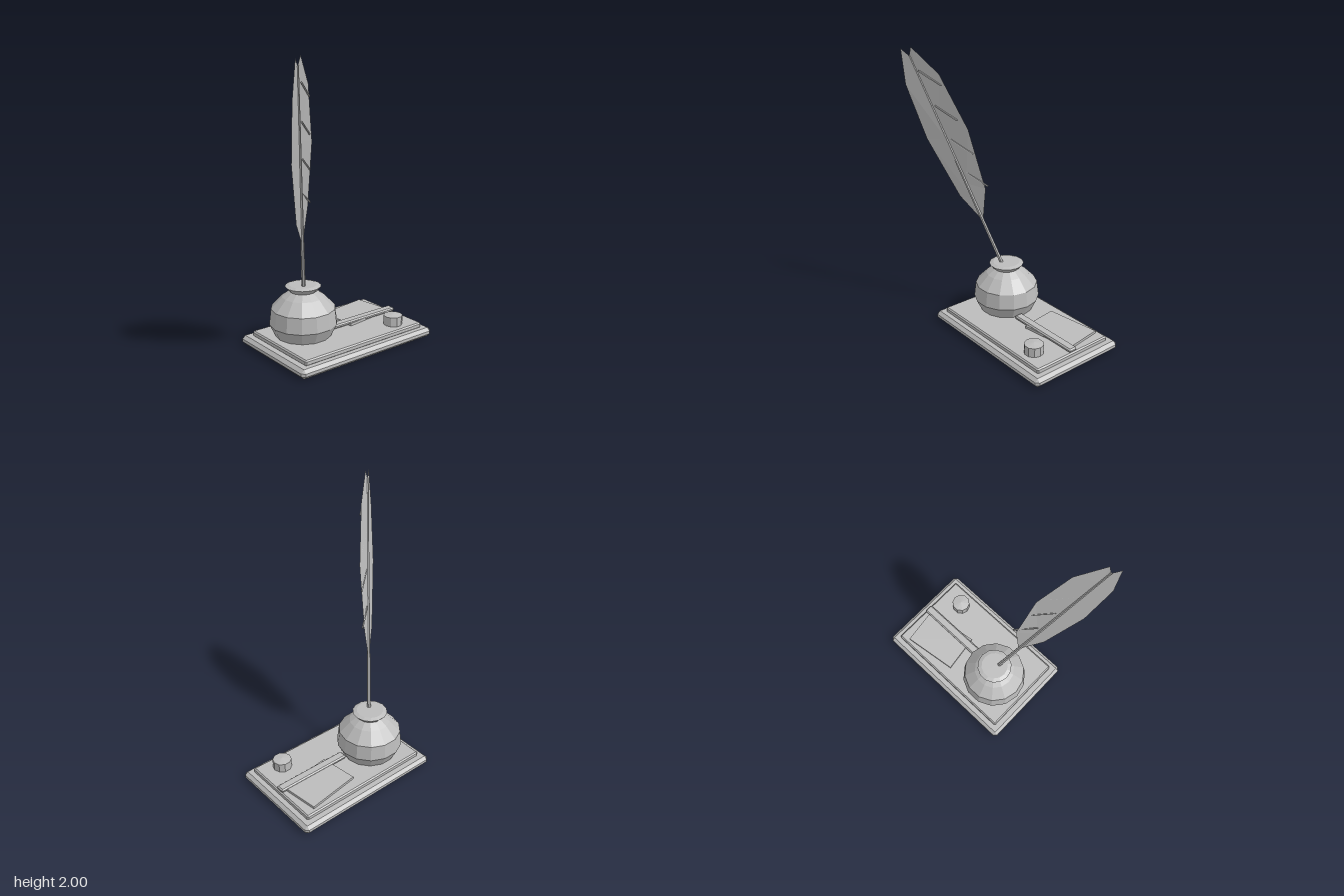
import * as THREE from 'three';
import { ConvexGeometry } from 'three/addons/geometries/ConvexGeometry.js';

const grey = new THREE.MeshStandardMaterial({ color: 0xbcbcbc, flatShading: true, side: THREE.DoubleSide });
grey.name = 'plain grey';

const v = (x, y, z) => new THREE.Vector3(x, y, z);

// Box with every edge cut at 45 degrees, given by its extents
function chamferBox(x0, x1, y0, y1, z0, z1, c) {
  const pts = [];
  for (const sx of [0, 1]) for (const sy of [0, 1]) for (const sz of [0, 1]) {
    const corner = v(sx ? x1 : x0, sy ? y1 : y0, sz ? z1 : z0);
    const inset = v(sx ? -c : c, sy ? -c : c, sz ? -c : c);
    for (const keep of ['x', 'y', 'z']) {
      const p = corner.clone().add(inset);
      p[keep] = corner[keep];
      pts.push(p);
    }
  }
  return new ConvexGeometry(pts);
}

// Lathe with corners on the x axis
function turned(profile, sides) {
  return new THREE.LatheGeometry(profile.map(([r, y]) => new THREE.Vector2(r, y)), sides).rotateY(Math.PI / 2);
}

// Tapered rod between two points
function rod(a, b, ra, rb, sides) {
  const dir = b.clone().sub(a);
  const g = new THREE.CylinderGeometry(rb, ra, dir.length(), sides);
  g.applyQuaternion(new THREE.Quaternion().setFromUnitVectors(v(0, 1, 0), dir.normalize()));
  const m = a.clone().add(b).multiplyScalar(0.5);
  return g.translate(m.x, m.y, m.z);
}

// Flat web strip between the spine and an outer edge
function vane(spineAt, ys, edge) {
  const pos = [];
  const tri = (...p) => p.forEach((q) => pos.push(q.x, q.y, q.z));
  for (let i = 0; i < edge.length - 1; i++) {
    const a = spineAt(ys[i]), b = spineAt(ys[i + 1]);
    tri(a, edge[i], edge[i + 1]);
    tri(a, edge[i + 1], b);
  }
  const g = new THREE.BufferGeometry();
  g.setAttribute('position', new THREE.Float32BufferAttribute(pos, 3));
  g.computeVertexNormals();
  return g;
}

export function createModel() {
  const model = new THREE.Group();
  model.name = 'quillAndInkwell';
  const add = (name, geometry, parent = model) => {
    const mesh = new THREE.Mesh(geometry, grey);
    mesh.name = name;
    parent.add(mesh);
    return mesh;
  };

  // Stepped desk tray
  add('base', chamferBox(-0.51, 0.625, 0.005, 0.07, -0.425, 0.31, 0.022).translate(0, -0.005, 0));
  add('topPlate', chamferBox(-0.45, 0.57, 0.06, 0.1, -0.367, 0.257, 0.009));

  // Inkwell body with flared neck
  const jar = add('inkwell', turned([
    [0, 0.095], [0.19, 0.095], [0.235, 0.185], [0.222, 0.295], [0.145, 0.375],
    [0.092, 0.412], [0.124, 0.447], [0.095, 0.457], [0, 0.457],
  ], 14));
  jar.position.set(-0.2, 0, -0.11);

  // Small stopper
  const cap = add('stopper', turned([[0, 0.095], [0.067, 0.095], [0.067, 0.166], [0, 0.176]], 10));
  cap.position.set(0.4, 0, 0.145);

  // Paper held under a ruler
  const paper = add('paper', new THREE.BoxGeometry(0.397, 0.02, 0.28));
  paper.position.set(0.316, 0.108, -0.17);
  paper.rotation.y = 0.136;
  add('ruler', chamferBox(0, 0.57, 0.102, 0.13, -0.087, -0.022, 0.009));

  // Feather pen
  const quill = new THREE.Group();
  quill.name = 'quill';
  model.add(quill);
  const foot = v(-0.215, 0.44, -0.083), tip = v(-0.578, 1.94, 0.383);
  const spineAt = (y) => foot.clone().lerp(tip, (y - foot.y) / (tip.y - foot.y));
  add('shaft', rod(foot, tip, 0.014, 0.007, 6), quill);

  const root = spineAt(0.775);
  add('vaneRight', vane(spineAt, [0.775, 0.95, 1.37, 1.72, 1.94], [
    root, v(-0.419, 0.955, 0.127), v(-0.562, 1.369, 0.286), v(-0.626, 1.745, 0.392), v(-0.62, 1.984, 0.419),
  ]), quill);
  add('vaneLeft', vane(spineAt, [0.775, 1.06, 1.5, 1.83, 1.94], [
    root, v(-0.255, 1.03, 0.027), v(-0.297, 1.464, 0.133), v(-0.419, 1.83, 0.265), v(-0.557, 2.0, 0.382),
  ]), quill);

  // Slanted barbs along the wide side of the feather
  for (let i = 0; i < 4; i++) {
    const a = v(-0.53 + 0.058 * i, 1.846 - 0.234 * i, 0.35 - 0.079 * i);
    add('barb', rod(a, a.clone().add(v(0.122, -0.09, -0.09)), 0.006, 0.006, 5), quill);
  }
  return model;
}
